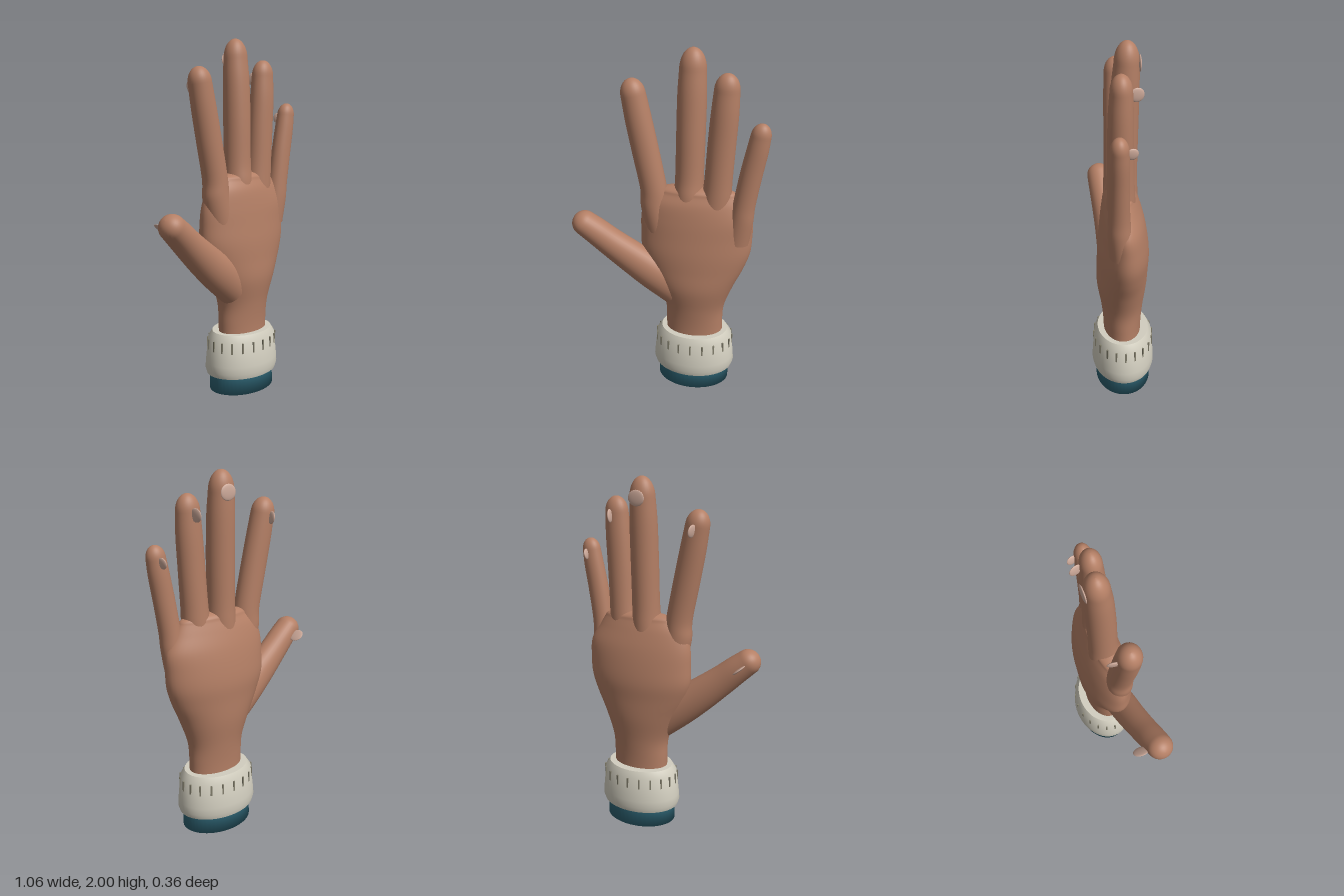
import * as THREE from 'three';
import { toCreasedNormals } from 'three/addons/utils/BufferGeometryUtils.js';

const material = (name, color) => {
  const m = new THREE.MeshStandardMaterial({ color });
  m.name = name;
  return m;
};

// Smooth limb from rows [x, y, z, radiusAcross, radiusDeep] stacked along a fixed axis.
function limb(rows, axis, tipLength = 0, steps = 32, sides = 32) {
  const centres = new THREE.CatmullRomCurve3(rows.map(r => new THREE.Vector3(r[0], r[1], r[2])), false, 'catmullrom');
  const radii = new THREE.CatmullRomCurve3(rows.map(r => new THREE.Vector3(r[3], r[4] ?? r[3], 0)), false, 'catmullrom');
  const rings = [];
  for (let i = 0; i <= steps; i++) rings.push([centres.getPoint(i / steps), radii.getPoint(i / steps)]);

  // Rounded end
  const [end, endRadius] = rings[steps];
  for (let i = 1; tipLength && i <= 10; i++) {
    const a = (i / 10) * Math.PI / 2;
    rings.push([
      end.clone().addScaledVector(axis, tipLength * Math.sin(a)),
      endRadius.clone().multiplyScalar(Math.max(Math.cos(a), 0.005)),
    ]);
  }

  const u = new THREE.Vector3().crossVectors(axis, new THREE.Vector3(0, 0, 1)).normalize();
  const v = new THREE.Vector3().crossVectors(u, axis).normalize();
  const position = [], index = [];
  rings.forEach(([c, r], i) => {
    for (let j = 0; j < sides; j++) {
      const a = (j / sides) * Math.PI * 2;
      const p = c.clone().addScaledVector(u, r.x * Math.cos(a)).addScaledVector(v, r.y * Math.sin(a));
      position.push(p.x, p.y, p.z);
      if (i === rings.length - 1) continue;
      const k = (j + 1) % sides, low = i * sides, high = low + sides;
      index.push(low + j, high + j, low + k, high + j, high + k, low + k);
    }
  });
  const g = new THREE.BufferGeometry();
  g.setAttribute('position', new THREE.Float32BufferAttribute(position, 3));
  g.setIndex(index);
  g.computeVertexNormals();
  return g;
}

export function createModel() {
  const model = new THREE.Group();
  model.name = 'hand';
  const skin = material('skin', 0xb47f65);
  const nailPink = material('nail pink', 0xcfab9b);
  const cream = material('cuff cream', 0xd2cebf);
  const groove = material('groove grey', 0x85816f);
  const teal = material('sleeve teal', 0x31697a);

  const add = (name, geometry, mat, parent = model) => {
    const mesh = new THREE.Mesh(geometry, mat);
    mesh.name = name;
    parent.add(mesh);
    return mesh;
  };

  // Wrist and palm
  add('palm', limb([
    [0.155, 0.28, 0.005, 0.165, 0.105],
    [0.153, 0.40, 0.005, 0.165, 0.107],
    [0.153, 0.52, 0.006, 0.172, 0.118],
    [0.150, 0.66, 0.008, 0.222, 0.138],
    [0.150, 0.78, 0.004, 0.275, 0.140],
    [0.150, 0.88, 0.000, 0.307, 0.140],
    [0.152, 0.98, 0.000, 0.312, 0.130],
    [0.152, 1.08, 0.004, 0.308, 0.115],
    [0.140, 1.17, 0.010, 0.270, 0.093],
    [0.150, 1.23, 0.010, 0.220, 0.070],
  ], new THREE.Vector3(0, 1, 0), 0.04, 54, 48), skin);

  // Digits: centre line from root to the start of the rounded tip
  const digits = {
    thumb: { tip: 0.07, rows: [
      [0.05, 0.62, 0.030, 0.110, 0.085], [-0.08, 0.72, 0.045, 0.108, 0.085],
      [-0.20, 0.812, 0.058, 0.097, 0.080], [-0.32, 0.91, 0.075, 0.084, 0.076],
      [-0.40, 0.98, 0.087, 0.077, 0.075], [-0.46, 1.03, 0.097, 0.071, 0.072]] },
    indexFinger: { tip: 0.085, rows: [
      [-0.035, 0.98, 0.020, 0.085, 0.075], [-0.075, 1.14, 0.020, 0.080, 0.072],
      [-0.085, 1.25, 0.020, 0.073, 0.068], [-0.125, 1.45, 0.018, 0.073, 0.066],
      [-0.160, 1.62, 0.016, 0.071, 0.065], [-0.186, 1.755, 0.014, 0.066, 0.062]] },
    middleFinger: { tip: 0.11, rows: [
      [0.10, 1.00, 0.005, 0.090, 0.090], [0.108, 1.20, 0.005, 0.082, 0.086],
      [0.110, 1.32, 0.000, 0.077, 0.078], [0.113, 1.55, -0.005, 0.077, 0.076],
      [0.115, 1.76, -0.013, 0.076, 0.072], [0.116, 1.89, -0.020, 0.070, 0.064]] },
    ringFinger: { tip: 0.09, rows: [
      [0.240, 1.00, 0.015, 0.085, 0.080], [0.260, 1.20, 0.018, 0.080, 0.074],
      [0.268, 1.32, 0.020, 0.075, 0.070], [0.279, 1.52, 0.022, 0.074, 0.066],
      [0.289, 1.68, 0.022, 0.072, 0.063], [0.295, 1.80, 0.020, 0.066, 0.056]] },
    littleFinger: { tip: 0.07, rows: [
      [0.375, 0.96, 0.020, 0.075, 0.070], [0.400, 1.10, 0.035, 0.066, 0.062],
      [0.413, 1.20, 0.040, 0.060, 0.056], [0.440, 1.37, 0.042, 0.059, 0.052],
      [0.464, 1.50, 0.042, 0.057, 0.050], [0.477, 1.58, 0.042, 0.053, 0.046]] },
  };
  for (const [name, { tip, rows }] of Object.entries(digits)) {
    const point = r => new THREE.Vector3(r[0], r[1], r[2]);
    const axis = point(rows[5]).sub(point(rows[1])).normalize();
    add(name, limb(rows, axis, tip), skin);
  }

  // Thin oval nails: [name, position, half sizes, rotation]
  const nails = [
    ['thumbNail', [-0.445, 1.01, -0.005], [0.040, 0.007, 0.045], [0, 0, -0.70]],
    ['indexNail', [-0.187, 1.735, -0.060], [0.008, 0.034, 0.035], [0, -0.2, 0.15]],
    ['middleNail', [0.120, 1.89, -0.085], [0.047, 0.042, 0.008], [0, 0, 0]],
    ['ringNail', [0.297, 1.788, -0.055], [0.008, 0.036, 0.036], [0, 0.2, -0.08]],
    ['littleNail', [0.477, 1.565, -0.018], [0.008, 0.030, 0.030], [0, 0.2, -0.15]],
  ];
  for (const [name, at, size, turn] of nails) {
    const nail = add(name, new THREE.SphereGeometry(1, 20, 12).scale(...size), nailPink);
    nail.position.set(...at);
    nail.rotation.set(...turn);
  }

  // Oval turned parts at the wrist
  const wristX = 0.153, depth = 0.75;
  const turned = profile => new THREE.LatheGeometry(profile.map(p => new THREE.Vector2(...p)), 48).scale(1, 1, depth);

  const cuff = turned([[0, 0.1], [0.23, 0.1], [0.24, 0.13], [0.237, 0.17], [0.222, 0.31], [0.195, 0.35], [0, 0.35]]);
  add('cuff', toCreasedNormals(cuff, 0.7), cream).position.x = wristX;

  add('sleeve', turned([[0, 0], [0.211, 0], [0.208, 0.11]]), teal).position.x = wristX;

  // Knitted grooves around the cuff
  const grooves = new THREE.Group();
  grooves.name = 'cuffGrooves';
  for (let i = 0; i < 20; i++) {
    const a = (i / 20) * Math.PI * 2;
    const mark = add('cuffGroove', new THREE.BoxGeometry(0.009, 0.06, 0.008), groove, grooves);
    mark.position.set(wristX + 0.226 * Math.sin(a), 0.28, 0.226 * depth * Math.cos(a));
    mark.rotation.y = Math.atan2(Math.sin(a) * depth, Math.cos(a));
  }
  model.add(grooves);
  return model;
}
